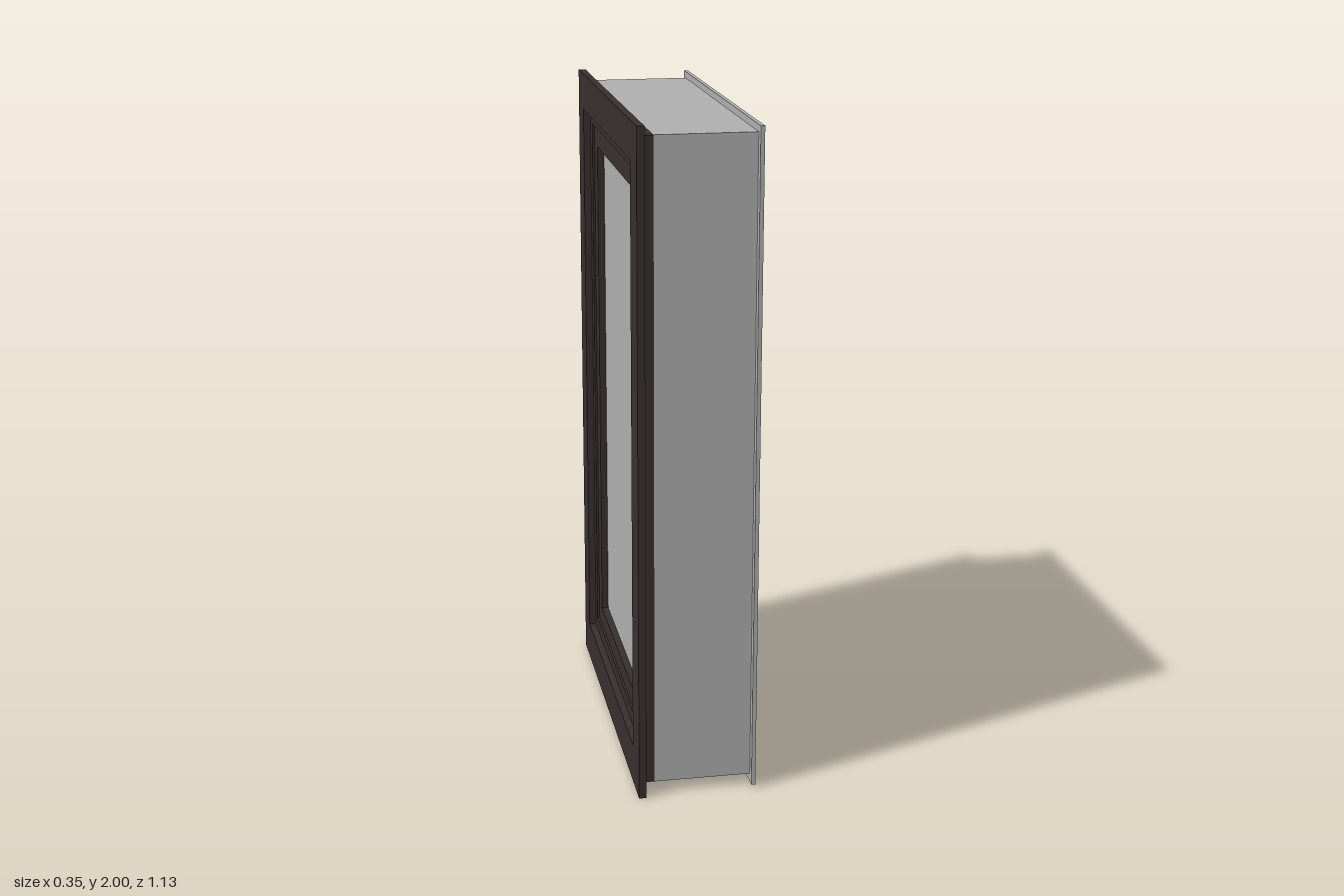
import * as THREE from 'three';

const grey = new THREE.MeshStandardMaterial({ color: 0xb0b0b0 });
grey.name = 'pale grey';
const dark = new THREE.MeshStandardMaterial({ color: 0x382f30 });
dark.name = 'dark brown';

// Rectangle given as [zMin, zMax, yMin, yMax]; shape x is world -z
function trace(path, [z0, z1, y0, y1]) {
  path.moveTo(-z1, y0);
  path.lineTo(-z0, y0);
  path.lineTo(-z0, y1);
  path.lineTo(-z1, y1);
  path.closePath();
  return path;
}

// Extrude a shape lying in the zy plane from x0 to x1
function slab(name, shape, x0, x1, material) {
  const geometry = new THREE.ExtrudeGeometry(shape, { depth: x1 - x0, bevelEnabled: false, curveSegments: 12 });
  geometry.rotateY(Math.PI / 2);
  geometry.translate(x0, 0, 0);
  const mesh = new THREE.Mesh(geometry, material);
  mesh.name = name;
  return mesh;
}

// Rectangular ring
function ring(name, outer, inner, x0, x1, material) {
  const shape = trace(new THREE.Shape(), outer);
  shape.holes.push(trace(new THREE.Path(), inner));
  return slab(name, shape, x0, x1, material);
}

function createHandle() {
  const handle = new THREE.Group();
  handle.name = 'handle';
  const z = -0.412, r = 0.011;

  // Rounded backplate
  const plate = new THREE.Shape();
  plate.absarc(-z, 1.022, 0.012, 0, Math.PI, false);
  plate.absarc(-z, 0.972, 0.012, Math.PI, Math.PI * 2, false);
  plate.closePath();
  handle.add(slab('handlePlate', plate, -0.065, -0.055, grey));

  // Neck and lever in one bent bar
  const path = new THREE.CurvePath();
  const v = (x, y) => new THREE.Vector3(x, y, z);
  path.add(new THREE.LineCurve3(v(-0.06, 1.0), v(-0.03, 1.0)));
  path.add(new THREE.QuadraticBezierCurve3(v(-0.03, 1.0), v(0, 1.0), v(0, 0.97)));
  path.add(new THREE.LineCurve3(v(0, 0.97), v(0, 0.866)));
  const lever = new THREE.Mesh(new THREE.TubeGeometry(path, 32, r, 12), grey);
  lever.name = 'handleLever';
  handle.add(lever);

  // Flat end of the lever
  const cap = new THREE.Mesh(new THREE.CylinderGeometry(r, r, 0.002, 12), grey);
  cap.position.set(0, 0.866, z);
  cap.name = 'leverEnd';
  handle.add(cap);
  return handle;
}

export function createModel() {
  const model = new THREE.Group();
  model.name = 'window';

  const wall = [-0.535, 0.535, 0.035, 1.97];
  const reveal = [-0.485, 0.485, 0.09, 1.92];
  const sash = [-0.46, 0.45, 0.13, 1.88];
  const rebate = [-0.425, 0.415, 0.16, 1.85];
  const pane = [-0.365, 0.355, 0.22, 1.785];

  model.add(
    // Outside: flat trim, frame and sash
    ring('outerTrim', [-0.567, 0.567, 0, 2], [-0.465, 0.455, 0.12, 1.89], -0.177, -0.155, dark),
    ring('outerFrame', wall, rebate, -0.155, -0.125, dark),
    ring('outerSash', rebate, pane, -0.148, -0.125, dark),
    // Inside: deep lining, frame, raised sash and casing
    ring('lining', wall, reveal, -0.125, 0.165, grey),
    ring('innerFrame', reveal, sash, -0.125, -0.085, grey),
    ring('innerSash', sash, pane, -0.125, -0.065, grey),
    ring('innerTrim', [-0.56, 0.56, 0.01, 1.99], reveal, 0.165, 0.177, grey),
    slab('pane', trace(new THREE.Shape(), pane), -0.127, -0.088, grey),
    createHandle()
  );
  return model;
}
